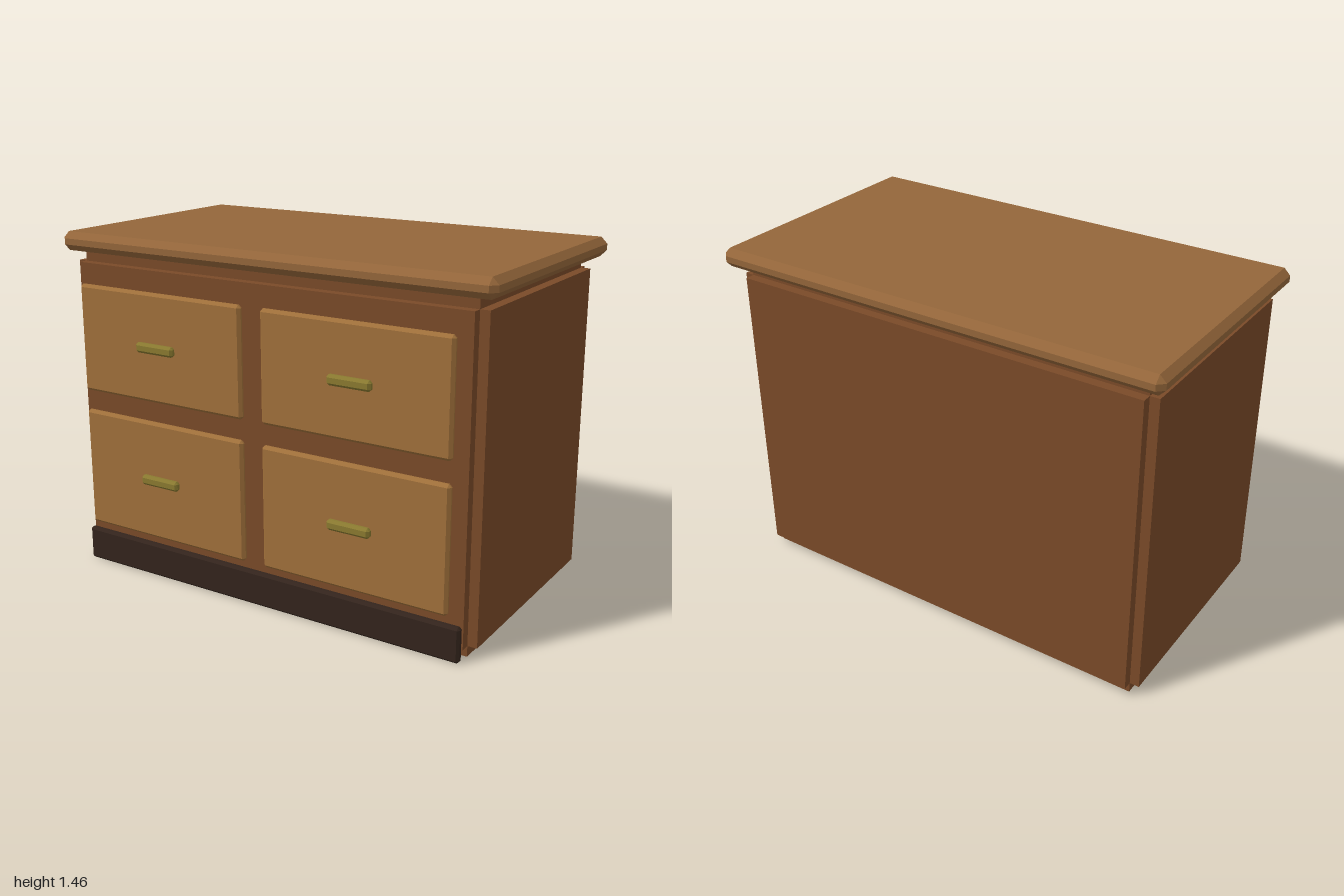
import * as THREE from 'three';
import { ConvexGeometry } from 'three/addons/geometries/ConvexGeometry.js';

const mat = (color) => new THREE.MeshStandardMaterial({ color });

// Box between two corners with every edge cut at 45 degrees
function chamferBox(name, min, max, c, material) {
  const half = max.map((v, i) => (v - min[i]) / 2);
  const points = [];
  for (const sx of [-1, 1]) for (const sy of [-1, 1]) for (const sz of [-1, 1]) {
    for (let axis = 0; axis < 3; axis++) {
      const p = half.map((h, i) => (i === axis ? h : h - c));
      points.push(new THREE.Vector3(p[0] * sx, p[1] * sy, p[2] * sz));
    }
  }
  const mesh = new THREE.Mesh(new ConvexGeometry(points), material);
  mesh.name = name;
  mesh.position.set(...max.map((v, i) => (v + min[i]) / 2));
  return mesh;
}

function plainBox(name, min, max, material) {
  const [w, h, d] = max.map((v, i) => v - min[i]);
  const mesh = new THREE.Mesh(new THREE.BoxGeometry(w, h, d), material);
  mesh.name = name;
  mesh.position.set(...max.map((v, i) => (v + min[i]) / 2));
  return mesh;
}

export function createModel() {
  const model = new THREE.Group();
  model.name = 'drawerCabinet';
  const bodyWood = mat(0x7a4a28);
  const topWood = mat(0x94663a);
  const drawerWood = mat(0xa0703a);
  const darkWood = mat(0x33241c);
  const brass = mat(0x8a7a30);

  // Carcass: three crossing boxes leave a square notch along every edge
  const body = new THREE.Group();
  body.name = 'cabinetBody';
  body.add(
    plainBox('bodyCore', [-0.915, 0, -0.5], [0.915, 1.38, 0.46], bodyWood),
    plainBox('sidePanels', [-0.955, 0.045, -0.5], [0.955, 1.335, 0.46], bodyWood),
    plainBox('frontAndBackPanels', [-0.915, 0.045, -0.54], [0.915, 1.335, 0.5], bodyWood)
  );
  model.add(body);

  // Overhanging top and kickboard
  model.add(chamferBox('top', [-1, 1.38, -0.583], [1, 1.46, 0.523], 0.027, topWood));
  model.add(chamferBox('kickboard', [-0.915, 0, 0.504], [0.915, 0.147, 0.537], 0.01, darkWood));

  // Two columns of two drawers, each with a bar handle
  const rows = [
    { name: 'upper', y0: 0.795, y1: 1.255, handleY: 1.03 },
    { name: 'lower', y0: 0.19, y1: 0.708, handleY: 0.457 },
  ];
  for (const [side, x] of [['Left', 0.457], ['Right', -0.461]]) {
    for (const { name, y0, y1, handleY } of rows) {
      const drawer = new THREE.Group();
      drawer.name = name + side + 'Drawer';
      drawer.add(
        chamferBox('drawerFront', [x - 0.413, y0, 0.525], [x + 0.413, y1, 0.556], 0.012, drawerWood),
        chamferBox('handle', [x - 0.095, handleY - 0.021, 0.556], [x + 0.095, handleY + 0.021, 0.587], 0.01, brass)
      );
      model.add(drawer);
    }
  }
  return model;
}
